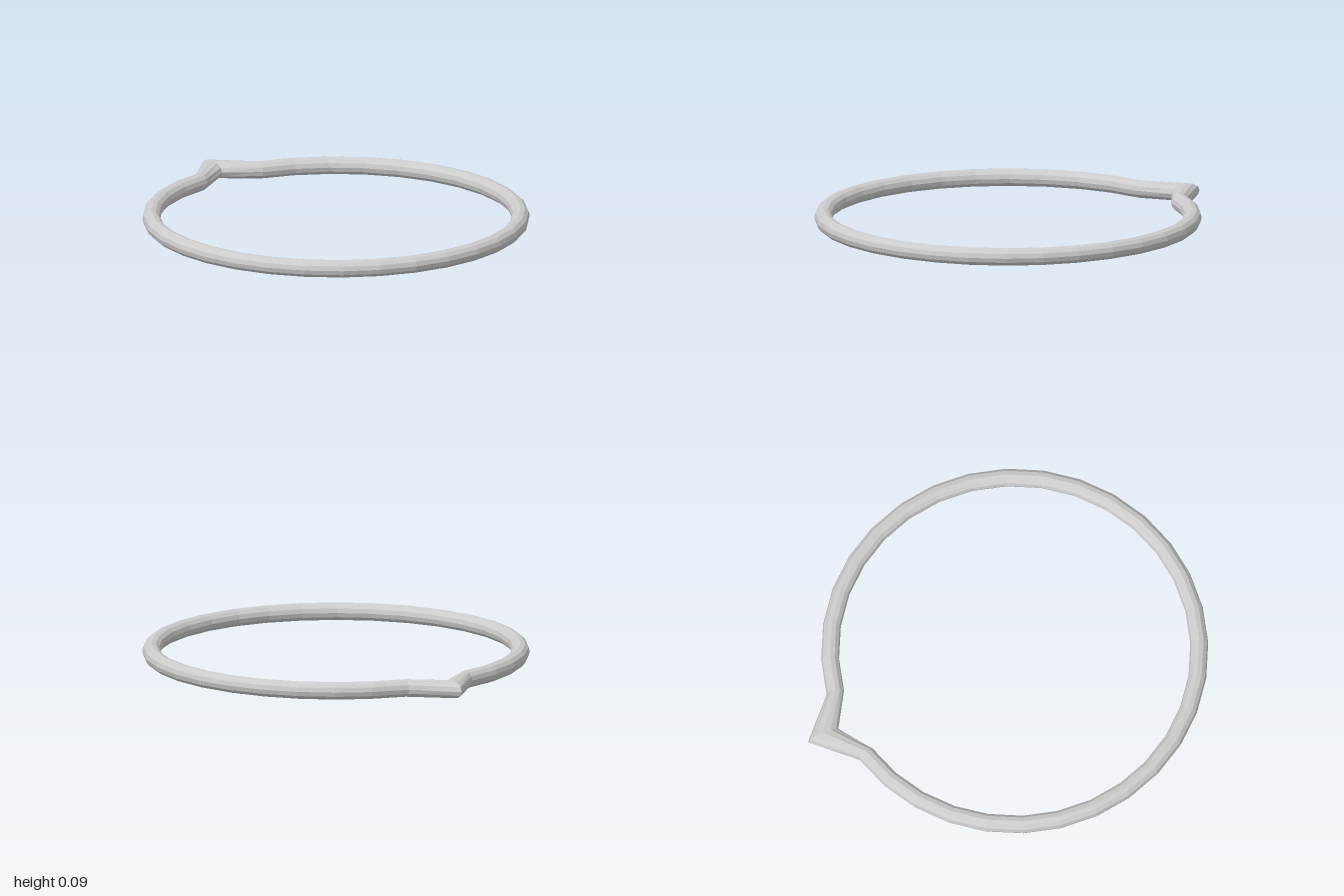
import * as THREE from 'three';

const RING = 0.875, TUBE = 0.0425, CENTER_Z = 0.0825;

export function createModel() {
  const group = new THREE.Group();
  group.name = 'pointedRing';

  // round band lying flat
  const geometry = new THREE.TorusGeometry(RING, TUBE, 12, 32);
  geometry.rotateX(Math.PI / 2);
  geometry.translate(0, TUBE, CENTER_Z);

  // pull the rearmost cross-section out into a peak and stretch it
  const pos = geometry.attributes.position;
  const backZ = CENTER_Z - RING;
  for (let i = 0; i < pos.count; i++) {
    if (Math.abs(pos.getX(i)) > 1e-3 || pos.getZ(i) > 0) continue;
    const offset = (pos.getZ(i) - backZ) / TUBE;
    pos.setZ(i, -0.92 + offset * 0.08);
  }
  geometry.computeVertexNormals();

  const band = new THREE.Mesh(
    geometry,
    new THREE.MeshStandardMaterial({ color: 0xcccccc, flatShading: true })
  );
  band.name = 'band';
  group.add(band);
  return group;
}
